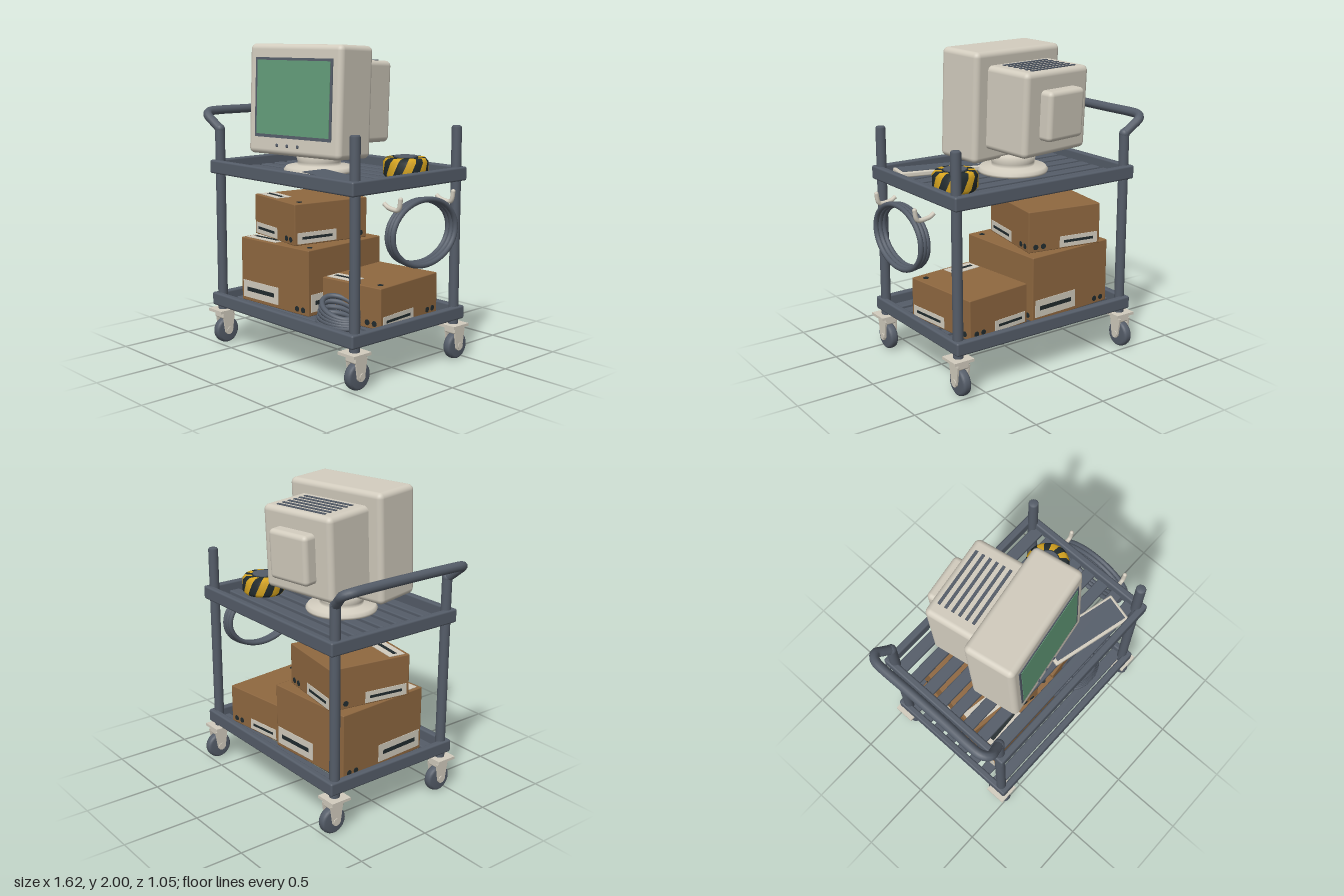
import * as THREE from 'three';
import { RoundedBoxGeometry } from 'three/addons/geometries/RoundedBoxGeometry.js';

const mat = (name, color) => Object.assign(new THREE.MeshStandardMaterial({ color }), { name });
const slate = mat('slate', 0x555d69);
const cream = mat('cream', 0xd2ccbe);
const cardboard = mat('cardboard', 0x8f6840);
const green = mat('screen green', 0x629b78);
const yellow = mat('yellow', 0xd9a61f);
const dark = mat('dark', 0x212b2e);

const V = (x, y, z) => new THREE.Vector3(x, y, z);

function add(parent, name, geo, material, x = 0, y = 0, z = 0) {
  const mesh = new THREE.Mesh(geo, material);
  mesh.name = name;
  mesh.position.set(x, y, z);
  parent.add(mesh);
  return mesh;
}

function addGroup(parent, name, x = 0, y = 0, z = 0, turn = 0) {
  const g = new THREE.Group();
  g.name = name;
  g.position.set(x, y, z);
  g.rotation.y = turn;
  parent.add(g);
  return g;
}

const box = (w, h, d) => new THREE.BoxGeometry(w, h, d);
const rounded = (w, h, d, r, s = 3) => new RoundedBoxGeometry(w, h, d, s, r);

function tube(points, r, closed = false, segments = 40, tension = 0.5) {
  const curve = new THREE.CatmullRomCurve3(points, closed, 'catmullrom', tension);
  return new THREE.TubeGeometry(curve, segments, r, 10, closed);
}

// Closed loop of cable from a point function of the angle
function loop(fn, r) {
  const pts = [];
  for (let i = 0; i < 28; i++) pts.push(fn((i / 28) * Math.PI * 2));
  return tube(pts, r, true, 56);
}

const MID = 0.02; // z of the cart's middle
const POST_X = 0.64, POST_Z = 0.435;

function shelf(parent, name, bottom, top) {
  const g = addGroup(parent, name, 0, 0, MID);
  const h = top - bottom, y = (top + bottom) / 2;
  for (const s of [-1, 1]) {
    add(g, 'longRail', rounded(1.365, h, 0.045, 0.012, 2), slate, 0, y, s * 0.47);
    add(g, 'shortRail', rounded(0.045, h, 0.985, 0.012, 2), slate, s * 0.66, y, 0);
  }
  for (let i = 0; i < 8; i++) {
    add(g, 'slat', rounded(1.3, 0.032, 0.078, 0.008, 2), slate, 0, bottom + 0.014, (i - 3.5) * 0.1115);
  }
}

function caster(parent, x, z) {
  const g = addGroup(parent, 'caster', x, 0, z);
  add(g, 'mountPlate', box(0.14, 0.018, 0.14), cream, 0, 0.227, 0);
  add(g, 'forkTop', rounded(0.09, 0.05, 0.095, 0.01, 2), cream, 0, 0.2, -0.01);
  // Fork cheeks with a rounded lower end
  const cheek = new THREE.Shape();
  cheek.moveTo(-0.047, 0.2);
  cheek.lineTo(-0.03, 0.09);
  cheek.absarc(0, 0.09, 0.03, Math.PI, Math.PI * 2, false);
  cheek.lineTo(0.047, 0.2);
  for (const s of [-1, 1]) {
    const geo = new THREE.ExtrudeGeometry(cheek, { depth: 0.012, bevelEnabled: false });
    geo.translate(0, 0, -0.006).rotateY(Math.PI / 2);
    add(g, 'forkCheek', geo, cream, s * 0.039, 0, -0.015);
  }
  const profile = [[0.0, -0.03], [0.07, -0.03], [0.083, -0.022], [0.087, -0.01], [0.087, 0.01], [0.083, 0.022], [0.07, 0.03], [0, 0.03]];
  const wheel = new THREE.LatheGeometry(profile.map(p => new THREE.Vector2(...p)), 28).rotateZ(Math.PI / 2);
  add(g, 'wheel', wheel, slate, 0, 0.087, -0.02);
  add(g, 'axle', new THREE.CylinderGeometry(0.022, 0.022, 0.1, 14).rotateZ(Math.PI / 2), cream, 0, 0.09, -0.02);
}

function cart(parent) {
  const g = addGroup(parent, 'cart');
  for (const sx of [-1, 1]) for (const sz of [-1, 1]) {
    const top = sx > 0 ? 1.5 : 1.45, z = MID + sz * POST_Z;
    const pts = [[0, 0.235], [0.032, 0.235], [0.032, top - 0.01], [0.026, top], [0, top]];
    add(g, 'post', new THREE.LatheGeometry(pts.map(p => new THREE.Vector2(...p)), 20), slate, sx * POST_X, 0, z);
    caster(g, sx * POST_X, z);
  }
  shelf(g, 'lowerShelf', 0.265, 0.35);
  shelf(g, 'upperShelf', 1.155, 1.243);
  // Push handle bent out from the two left-hand posts
  const half = [[-0.64, 1.445, 0.435], [-0.69, 1.49, 0.45], [-0.735, 1.53, 0.46], [-0.77, 1.55, 0.42], [-0.778, 1.556, 0.34], [-0.774, 1.556, 0.12]];
  const path = [...half.map(p => V(p[0], p[1], MID + p[2])), ...half.slice().reverse().map(p => V(p[0], p[1], MID - p[2]))];
  add(g, 'pushHandle', tube(path, 0.03, false, 70), slate);
  for (const s of [-1, 1]) add(g, 'handleJoint', new THREE.SphereGeometry(0.033, 16, 12), slate, -0.64, 1.445, MID + s * 0.435);
}

function hangingCable(parent) {
  const g = addGroup(parent, 'hangingCable');
  for (const z of [-0.21, 0.245]) {
    const pts = [V(0.665, 1.09, z), V(0.7, 1.07, z), V(0.765, 1.062, z), V(0.788, 1.08, z), V(0.797, 1.128, z)];
    add(g, 'hook', tube(pts, 0.014, false, 24), cream);
    add(g, 'hookTip', new THREE.SphereGeometry(0.014, 10, 8), cream, 0.797, 1.128, z);
  }
  for (let i = 0; i < 3; i++) {
    const k = (i - 1) * 0.004;
    add(g, 'cableLoop', loop(a => V(0.731 + i * 0.026, 0.905 + (0.193 + k) * Math.sin(a), MID + (0.267 + k) * Math.cos(a)), 0.0165), slate);
  }
}

function monitor(parent) {
  const base = addGroup(parent, 'monitorStand', -0.108, 0, 0.06);
  const profile = [[0, 1.185], [0.225, 1.185], [0.23, 1.2], [0.215, 1.22], [0.14, 1.228], [0.14, 1.25], [0.155, 1.31], [0, 1.31]];
  const stand = new THREE.LatheGeometry(profile.map(p => new THREE.Vector2(...p)), 36);
  add(base, 'standBase', stand, cream);

  const turn = addGroup(parent, 'monitor', -0.083, 1.645, 0.161, 0.16);
  const g = addGroup(turn, 'monitorTilt');
  g.rotation.x = -0.045;
  add(g, 'frontHousing', rounded(0.745, 0.695, 0.325, 0.035, 4), cream);
  add(g, 'rearHousing', rounded(0.555, 0.525, 0.42, 0.035, 4), cream, 0, 0, -0.287);
  add(g, 'rearCap', rounded(0.31, 0.31, 0.15, 0.03, 4), cream, 0, -0.005, -0.506);
  add(g, 'screenFrame', box(0.62, 0.5, 0.008), slate, 0, 0.012, 0.1635);
  add(g, 'screen', box(0.586, 0.464, 0.008), green, 0, 0.014, 0.1665);
  for (const x of [-0.122, -0.04, 0.044]) add(g, 'button', rounded(0.018, 0.02, 0.009, 0.004, 2), slate, x, -0.285, 0.1645);
  for (let i = 0; i < 6; i++) add(g, 'vent', box(0.39, 0.008, 0.018), slate, 0, 0.264, -0.444 + i * 0.0465);
}

function keyboard(parent) {
  const g = addGroup(parent, 'keyboard', 0.304, 1.203, 0.313, -0.245);
  g.rotation.order = 'YXZ';
  g.rotation.x = 0.04;
  add(g, 'keyboardBase', rounded(0.555, 0.034, 0.194, 0.01, 2), cream);
  add(g, 'keyField', box(0.515, 0.008, 0.158), slate, 0, 0.017, 0);
}

// Striped roll: each stripe is a slice of a lathe, twisted along its profile
function tapeRoll(parent) {
  const g = addGroup(parent, 'tapeRoll', 0.468, 1.187, -0.14);
  const profile = [[0.07, 0], [0.122, 0], [0.14, 0.022], [0.14, 0.1], [0.122, 0.123], [0.07, 0.123]].map(p => new THREE.Vector2(...p));
  const twist = [0, 0.1, 0.18, 0.43, 0.52, 0.66];
  const n = 16, step = (Math.PI * 2) / n;
  for (let i = 0; i < n; i++) {
    const geo = new THREE.LatheGeometry(profile, 3, i * step, step);
    const p = geo.attributes.position;
    for (let j = 0; j < p.count; j++) {
      const v = V(0, 0, 0).fromBufferAttribute(p, j).applyAxisAngle(V(0, 1, 0), twist[j % profile.length]);
      p.setXYZ(j, v.x, v.y, v.z);
    }
    geo.computeVertexNormals();
    add(g, 'stripe', geo, i % 2 ? yellow : dark);
  }
  add(g, 'hubRim', new THREE.CylinderGeometry(0.08, 0.08, 0.126, 28), dark, 0, 0.063, 0);
  add(g, 'hub', new THREE.CylinderGeometry(0.072, 0.072, 0.133, 28), slate, 0, 0.0665, 0);
}

// Label: cream plate with a dark bar, flat in the xy plane, facing +z
function label(parent, w, h) {
  const g = addGroup(parent, 'label');
  add(g, 'labelPlate', box(w, h, 0.005), cream);
  add(g, 'labelBar', box(w * 0.78, h * 0.24, 0.008), dark);
  return g;
}

function carton(parent, name, x, z, turn, w, d, bottom, top, backSide) {
  const h = top - bottom;
  const g = addGroup(parent, name, x, (bottom + top) / 2, z, turn);
  add(g, 'carton', rounded(w, h, d, 0.006, 1), cardboard);
  const lh = Math.min(0.115, h * 0.27);
  const faces = [[0, w, d, -1], [Math.PI / 2, d, w, -1], [-Math.PI / 2, d, w, 1], [Math.PI, w, d, backSide]];
  for (const [angle, width, depth, side] of faces) {
    const face = addGroup(g, 'labelledFace', 0, 0, 0, angle);
    const lw = width * 0.53;
    label(face, lw, lh).position.set(side * (width / 2 - lw / 2 - 0.02), -h / 2 + lh / 2 + (h > 0.35 ? 0.025 : 0.01), depth / 2 + 0.001);
    // Pair of round handling marks at the other end
    for (const k of [0, 1]) {
      const dot = new THREE.CylinderGeometry(0.018, 0.018, 0.006, 12).rotateX(Math.PI / 2);
      add(face, 'mark', dot, dark, -side * (width / 2 - 0.05 - k * 0.055), -h / 2 + 0.035, depth / 2);
    }
  }
  const lid = label(g, w * 0.45, 0.11);
  lid.rotation.x = -Math.PI / 2;
  lid.position.set(-w * 0.24, h / 2 + 0.001, d / 2 - 0.08);
  add(g, 'lidMark', new THREE.CylinderGeometry(0.018, 0.018, 0.006, 12), dark, w / 2 - 0.06, h / 2, d / 2 - 0.07);
}

// Loose coil, fanned up at its left end
function looseCable(parent) {
  const g = addGroup(parent, 'looseCable');
  for (let i = 0; i < 5; i++) {
    add(g, 'coilLoop', loop(a => V(
      0.345 + (0.152 - i * 0.006) * Math.cos(a),
      0.315 + i * 0.014 + (1 - Math.cos(a)) * 0.5 * 0.02 * i - Math.sin(a) * 0.005 * i,
      0.315 + 0.09 * Math.sin(a) - i * 0.004), 0.017), slate);
  }
}

export function createModel() {
  const model = new THREE.Group();
  model.name = 'equipmentCart';
  cart(model);
  hangingCable(model);
  monitor(model);
  keyboard(model);
  tapeRoll(model);
  carton(model, 'largeCarton', -0.265, -0.003, 0.055, 0.64, 0.67, 0.295, 0.722, -1);
  carton(model, 'topCarton', -0.3, -0.03, -0.163, 0.52, 0.556, 0.722, 0.992, 1);
  carton(model, 'smallCarton', 0.327, -0.068, 0.11, 0.47, 0.575, 0.295, 0.555, 1);
  looseCable(model);
  return model;
}
